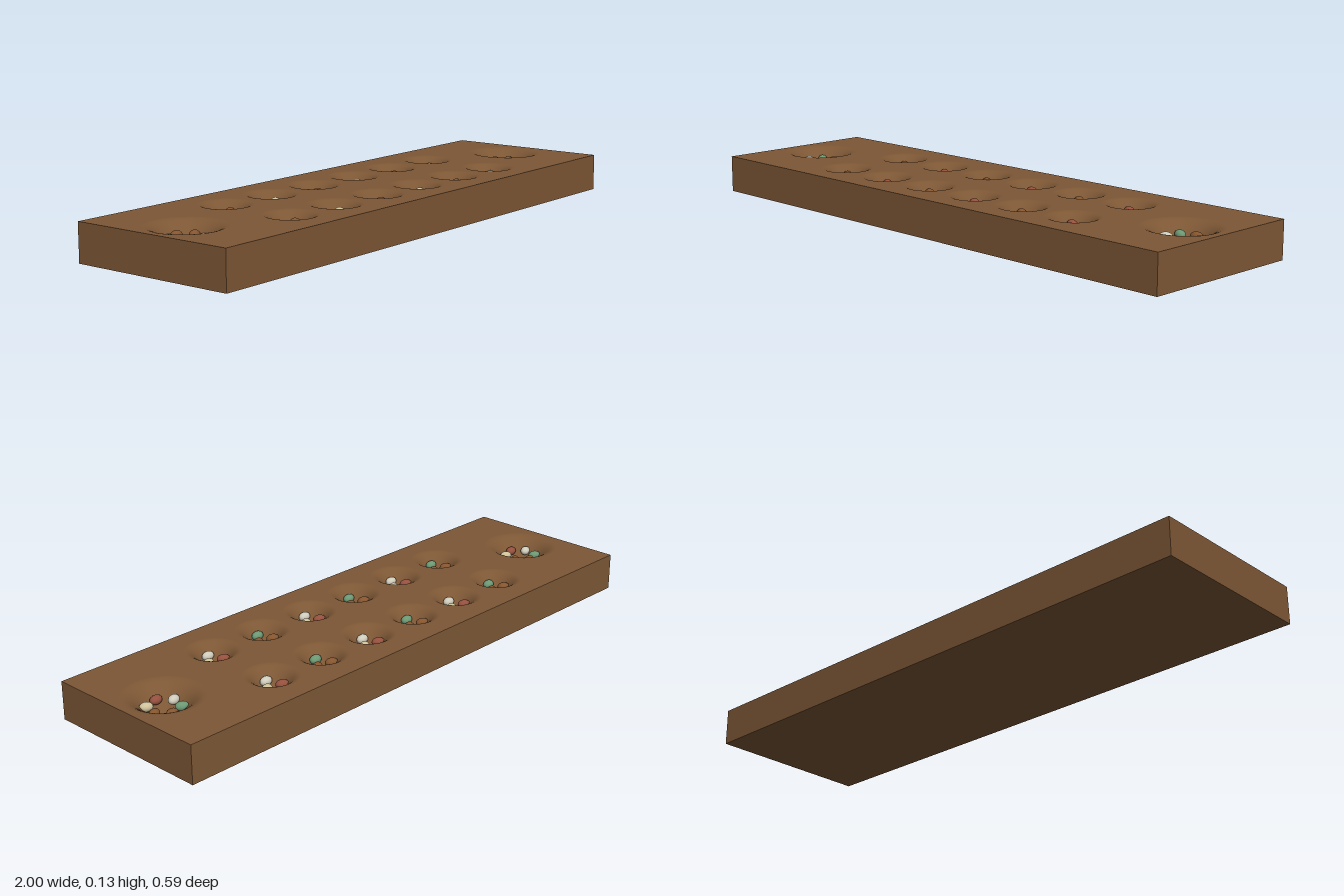
import * as THREE from 'three';

const W = 2, H = 0.128, D = 0.59, SEG = 40;
const mat = (name, color) => Object.assign(new THREE.MeshStandardMaterial({ color }), { name });

export function createModel() {
  const root = new THREE.Group();
  root.name = 'pitAndStoneBoard';
  const wood = mat('wood', 0x7d5735);
  const green = mat('greenStone', 0x6c9874), cream = mat('creamStone', 0xcfc29c);
  const pale = mat('paleStone', 0xd0ccbc), red = mat('redStone', 0x95503e), brown = mat('brownStone', 0x85552f);

  const add = (parent, name, geo, m) => {
    const mesh = new THREE.Mesh(geo, m);
    mesh.name = name;
    parent.add(mesh);
    return mesh;
  };

  // Hollow list: two rows of six pits and one store at each end
  const hollows = [];
  for (const z of [-0.133, 0.133]) {
    for (let i = 0; i < 6; i++) {
      hollows.push({
        name: 'pit', x: (i - 2.5) * 0.2145, z, r: 0.09, depth: 0.064, ring: 0.032, start: 100,
        stones: i % 2 ? [pale, red, cream] : [green, brown, brown],
      });
    }
  }
  for (const x of [-0.85, 0.85]) {
    hollows.push({
      name: 'store', x, z: 0, r: 0.13, depth: 0.08, ring: 0.053, start: 43,
      stones: [cream, red, pale, green, brown, brown],
    });
  }

  // Board sides and underside: a box without its top face
  const box = new THREE.BoxGeometry(W, H, D);
  const idx = Array.from(box.index.array);
  idx.splice(12, 6);
  box.setIndex(idx);
  box.clearGroups();
  add(root, 'boardSides', box, wood).position.y = H / 2;

  // Board top, pierced by every hollow
  const shape = new THREE.Shape([[-1, -1], [1, -1], [1, 1], [-1, 1]]
    .map(([a, b]) => new THREE.Vector2(a * W / 2, b * D / 2)));
  for (const h of hollows) {
    const pts = [];
    for (let i = 0; i < SEG; i++) {
      const a = -i / SEG * Math.PI * 2;
      pts.push(new THREE.Vector2(h.x + h.r * Math.cos(a), -h.z + h.r * Math.sin(a)));
    }
    shape.holes.push(new THREE.Path(pts));
  }
  const top = add(root, 'boardTop', new THREE.ShapeGeometry(shape), wood);
  top.rotation.x = -Math.PI / 2;
  top.position.y = H;

  // Soft-rimmed bowls with a ring of oval stones in each
  const drop = (h, r) => -h.depth * 0.5 * (1 + Math.cos(Math.PI * r / h.r));
  const stoneGeo = new THREE.SphereGeometry(1, 16, 12);
  for (const h of hollows) {
    const group = new THREE.Group();
    group.name = h.name;
    group.position.set(h.x, H, h.z);
    root.add(group);

    const profile = [];
    for (let i = 0; i <= 14; i++) {
      const r = h.r * (1 - i / 14);
      profile.push(new THREE.Vector2(r, drop(h, r)));
    }
    add(group, h.name + 'Bowl', new THREE.LatheGeometry(profile, SEG), wood);

    h.stones.forEach((m, i) => {
      const a = THREE.MathUtils.degToRad(h.start + i * 360 / h.stones.length);
      const stone = add(group, 'stone', stoneGeo, m);
      stone.scale.set(0.022, 0.015, 0.016);
      stone.position.set(h.ring * Math.cos(a), drop(h, h.ring) + 0.014, h.ring * Math.sin(a));
      stone.rotation.y = 0.45 * Math.sin(2 * a + 2.9);
    });
  }
  return root;
}
